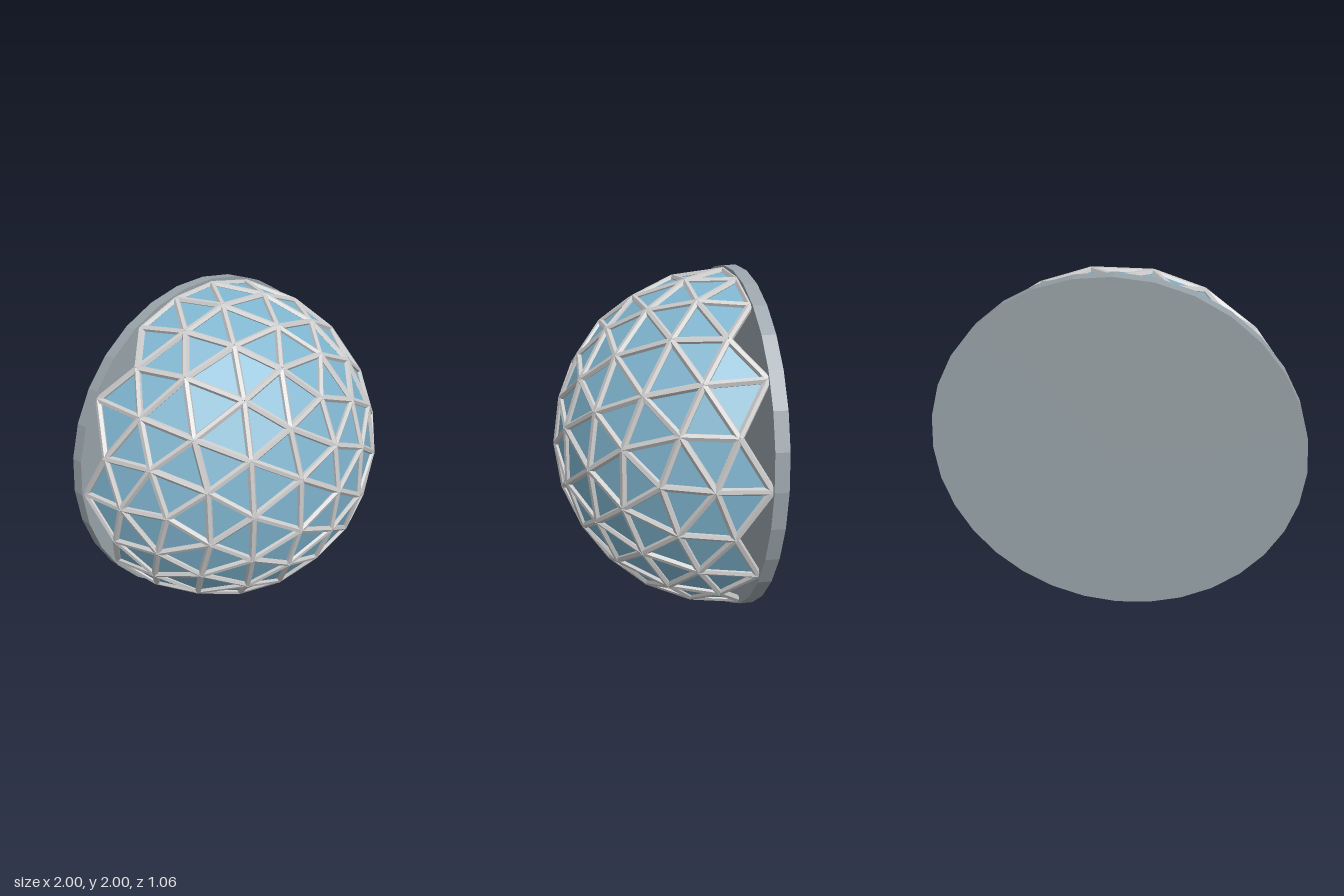
import * as THREE from 'three';

const R = 0.97;          // radius of the dome's nodes
const BASE_Z = -0.457;   // plane where the dome meets its base

// Twice-halved icosahedron: triangles whose corners lie on the unit sphere
function geodesicFaces(levels) {
  const p = new THREE.IcosahedronGeometry(1, 0).getAttribute('position');
  let faces = [];
  for (let i = 0; i < p.count; i += 3) {
    faces.push([0, 1, 2].map(k => new THREE.Vector3().fromBufferAttribute(p, i + k).normalize()));
  }
  const mid = (a, b) => a.clone().add(b).normalize();
  for (let l = 0; l < levels; l++) {
    faces = faces.flatMap(([a, b, c]) => {
      const ab = mid(a, b), bc = mid(b, c), ca = mid(c, a);
      return [[a, ab, ca], [ab, b, bc], [ca, bc, c], [ab, bc, ca]];
    });
  }
  return faces;
}

export function createModel() {
  const model = new THREE.Group();
  model.name = 'geodesicDome';

  const frameMat = new THREE.MeshStandardMaterial({ color: 0xcccccc, flatShading: true });
  const glassMat = new THREE.MeshStandardMaterial({ color: 0x7fb4ce, flatShading: true, side: THREE.DoubleSide });
  const baseMat = new THREE.MeshStandardMaterial({ color: 0x98a2a8, flatShading: true });

  // Keep only the whole triangles on the front half
  const faces = geodesicFaces(2).filter(f => f.every(v => v.z > -0.001));

  const dome = new THREE.Group();
  dome.name = 'dome';
  dome.position.set(0, 1, BASE_Z);
  model.add(dome);

  // Glass panels, one flat triangle per face
  const glass = new THREE.BufferGeometry().setFromPoints(
    faces.flat().map(v => v.clone().multiplyScalar(R)));
  glass.computeVertexNormals();
  const panels = new THREE.Mesh(glass, glassMat);
  panels.name = 'glassPanels';
  dome.add(panels);

  // Struts, one along every distinct edge
  const struts = new THREE.Group();
  struts.name = 'struts';
  dome.add(struts);
  const up = new THREE.Vector3(0, 1, 0);
  const key = v => v.toArray().map(n => Math.round(n * 1000)).join();
  const seen = new Set();
  for (const f of faces) {
    for (let i = 0; i < 3; i++) {
      const a = f[i], b = f[(i + 1) % 3];
      const id = [key(a), key(b)].sort().join('|');
      if (seen.has(id)) continue;
      seen.add(id);
      const strut = new THREE.Mesh(
        new THREE.CylinderGeometry(0.02, 0.02, a.distanceTo(b) * R, 6), frameMat);
      strut.name = 'strut';
      strut.position.copy(a).add(b).multiplyScalar(R / 2);
      strut.quaternion.setFromUnitVectors(up, b.clone().sub(a).normalize());
      struts.add(strut);
    }
  }

  // Round base plate behind the dome
  const base = new THREE.Mesh(new THREE.CylinderGeometry(1, 1, 0.075, 32), baseMat);
  base.name = 'basePlate';
  base.rotation.x = Math.PI / 2;
  base.position.set(0, 1, BASE_Z - 0.0375);
  model.add(base);

  return model;
}
